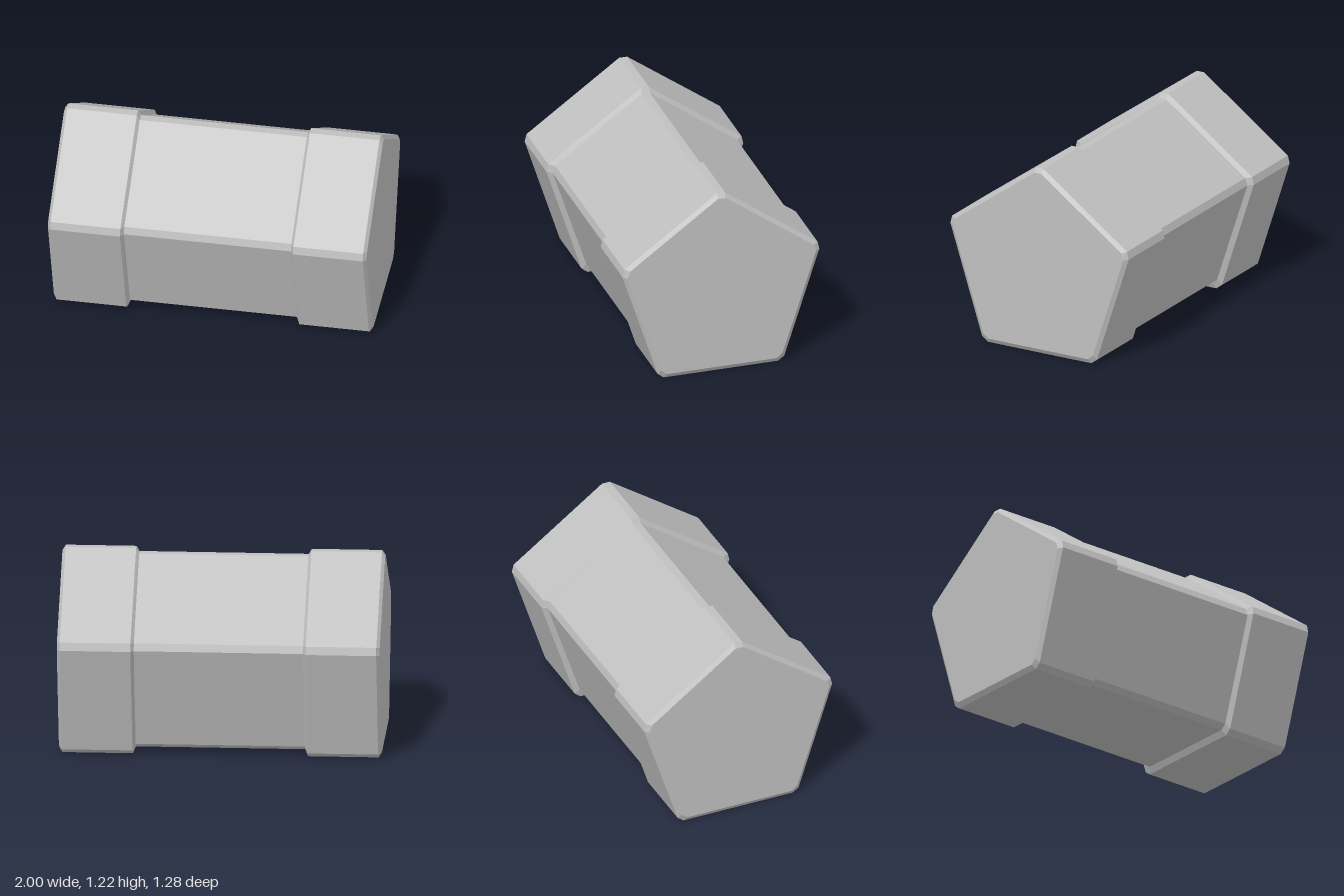
import * as THREE from 'three';

// Half of a pentagon with clipped corners as [z, y], from the apex down; mirrored to a full ring
const ring = (half) => [...half, ...half.map(([z, y]) => [-z, y]).reverse()];
const outer = ring([[0.026, 1.22], [0.628, 0.785], [0.64, 0.735], [0.412, 0.03], [0.372, 0]]);
const endFace = ring([[0.026, 1.19], [0.597, 0.776], [0.612, 0.73], [0.394, 0.06], [0.356, 0.03]]);
const inner = ring([[0.026, 1.187], [0.59, 0.777], [0.605, 0.73], [0.387, 0.066], [0.349, 0.038]]);

// Skins a row of rings placed along x (ascending), with optional flat caps
function loft(stations, capStart, capEnd) {
  const pos = [];
  const rings = stations.map(([x, r]) => r.map(([z, y]) => [x, y, z]));
  const tri = (a, b, c) => pos.push(...a, ...b, ...c);
  const n = rings[0].length;
  for (let i = 0; i < rings.length - 1; i++) {
    for (let j = 0; j < n; j++) {
      const k = (j + 1) % n;
      const a = rings[i][j], b = rings[i][k], c = rings[i + 1][j], d = rings[i + 1][k];
      tri(a, b, c);
      tri(b, d, c);
    }
  }
  const first = rings[0], last = rings[rings.length - 1];
  for (let j = 1; j < n - 1; j++) {
    if (capStart) tri(first[0], first[j + 1], first[j]);
    if (capEnd) tri(last[0], last[j], last[j + 1]);
  }
  const geometry = new THREE.BufferGeometry();
  geometry.setAttribute('position', new THREE.Float32BufferAttribute(pos, 3));
  geometry.computeVertexNormals();
  return geometry;
}

export function createModel() {
  const group = new THREE.Group();
  group.name = 'pentagonalBar';
  const grey = new THREE.MeshStandardMaterial({ color: 0xc0c0c0 });
  grey.name = 'plain grey';

  const add = (name, geometry) => {
    const mesh = new THREE.Mesh(geometry, grey);
    mesh.name = name;
    group.add(mesh);
  };

  // Recessed middle
  add('middleSection', loft([[-0.524, inner], [0.524, inner]], false, false));

  // Raised end blocks with bevelled rims
  const block = [[0.524, inner], [0.543, outer], [0.98, outer], [1, endFace]];
  add('leftEndBlock', loft(block, false, true));
  add('rightEndBlock', loft(block.map(([x, r]) => [-x, r]).reverse(), true, false));

  return group;
}
